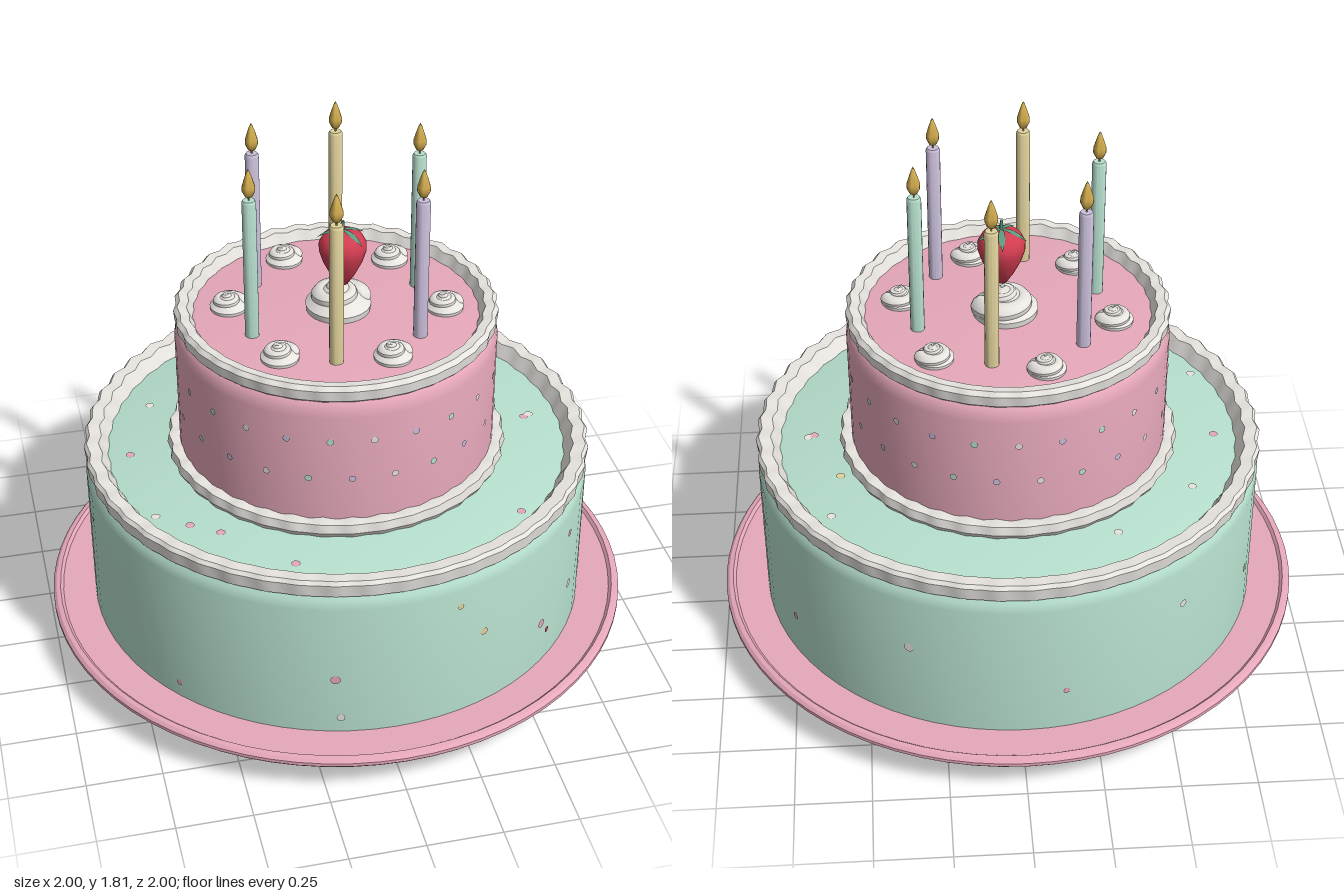
import * as THREE from 'three';
import { toCreasedNormals } from 'three/addons/utils/BufferGeometryUtils.js';

const mat = (name, color) => new THREE.MeshStandardMaterial({ name, color });

export function createModel() {
  const model = new THREE.Group();
  model.name = 'tieredCake';
  const M = {
    pink: mat('pinkIcing', 0xe6a8ba),
    mint: mat('mintIcing', 0xb6dfcd),
    white: mat('whiteCream', 0xeeebe6),
    lavender: mat('lavender', 0xcabfdb),
    yellow: mat('paleYellow', 0xe0d29c),
    gold: mat('flameGold', 0xd2ac4e),
    red: mat('strawberryRed', 0xd23c50),
    leaf: mat('leafGreen', 0x5c9a7c),
  };
  M.leaf.side = THREE.DoubleSide;

  const add = (name, geometry, material, parent = model) => {
    const mesh = new THREE.Mesh(geometry, material);
    mesh.name = name;
    parent.add(mesh);
    return mesh;
  };
  const profile = (pts) => pts.map(([r, y]) => new THREE.Vector2(r, y));
  const lathe = (pts, segments = 72, crease = 0.55) =>
    toCreasedNormals(new THREE.LatheGeometry(profile(pts), segments), crease);

  // Closed ring of piped cream with a wavy edge
  const ruffle = (pts, waves, amp) => {
    const g = new THREE.LatheGeometry(profile([...pts, pts[0]]), waves * 4);
    const p = g.attributes.position;
    for (let i = 0; i < p.count; i++) {
      const x = p.getX(i), z = p.getZ(i);
      const r = Math.hypot(x, z);
      const a = Math.atan2(x, z);
      const wave = Math.sin(a * waves);
      const s = 1 + (amp * wave) / r;
      p.setXYZ(i, x * s, p.getY(i) + amp * 0.6 * wave, z * s);
    }
    return toCreasedNormals(g, 0.6);
  };

  // Cake board
  add('boardFoot', lathe([[0, 0.015], [0.53, 0.015], [0.55, 0.001], [0.575, 0],
    [0.6, 0.01], [0.625, 0.03], [0.66, 0.042], [0.7, 0.05], [0.7, 0.08]]), M.white);
  add('boardRim', lathe([[0.8, 0.112], [0.97, 0.11], [0.99, 0.114], [1, 0.125],
    [1, 0.137], [0.99, 0.147], [0.975, 0.15], [0.965, 0.14], [0.85, 0.14], [0.8, 0.14]]), M.pink);
  add('boardRuffle', ruffle([[0.85, 0.062], [0.89, 0.062], [0.91, 0.095],
    [0.9, 0.115], [0.85, 0.115]], 60, 0.006), M.white);

  // Cake tiers
  add('lowerTier', lathe([[0, 0.06], [0.852, 0.06], [0.852, 0.64], [0.846, 0.67],
    [0.83, 0.69], [0.8, 0.7], [0, 0.7]]), M.mint);
  add('upperTier', lathe([[0, 0.69], [0.53, 0.69], [0.532, 1.14], [0.527, 1.17],
    [0.515, 1.192], [0.49, 1.208], [0.46, 1.212], [0, 1.212]]), M.pink);

  // Piped cream borders
  add('lowerTierBorder', ruffle([[0.77, 0.695], [0.825, 0.678], [0.845, 0.69],
    [0.85, 0.735], [0.84, 0.747], [0.80, 0.745]], 48, 0.005), M.white);
  add('upperTierBaseBorder', ruffle([[0.51, 0.69], [0.55, 0.69], [0.568, 0.72],
    [0.562, 0.75], [0.525, 0.755], [0.51, 0.75]], 36, 0.005), M.white);
  add('upperTierBorder', ruffle([[0.465, 1.205], [0.51, 1.186], [0.525, 1.2],
    [0.528, 1.235], [0.515, 1.249], [0.485, 1.246]], 36, 0.004), M.white);

  // Swirled cream dollop: a spiral tube that thins towards its raised centre
  const spiralPoints = [];
  for (let i = 0; i <= 32; i++) {
    const t = i / 32, a = 0.4 - (1 - t) * Math.PI * 4.4;
    spiralPoints.push(new THREE.Vector3(0.046 * t * Math.cos(a), 0.018 + 0.042 * (1 - t), 0.046 * t * Math.sin(a)));
  }
  const spiral = new THREE.CatmullRomCurve3(spiralPoints);
  const rings = 72, sides = 10;
  const swirl = new THREE.TubeGeometry(spiral, rings, 1, sides);
  const sp = swirl.attributes.position, v = new THREE.Vector3();
  for (let i = 0; i <= rings; i++) {
    const t = i / rings, c = spiral.getPointAt(t);
    const r = (0.007 + 0.018 * t) * Math.sqrt(Math.min(1, (1 - t) * 14, t * 20 + 0.02));
    for (let j = 0; j <= sides; j++) {
      const k = i * (sides + 1) + j;
      v.fromBufferAttribute(sp, k).sub(c).multiplyScalar(r).add(c);
      sp.setXYZ(k, v.x, v.y, v.z);
    }
  }
  swirl.computeVertexNormals();
  const core = lathe([[0, 0], [0.062, 0], [0.064, 0.015], [0.045, 0.03], [0.02, 0.05], [0, 0.06]], 24, 0.9);
  const dollop = (name, x, z, scale) => {
    const g = new THREE.Group();
    g.name = name;
    g.position.set(x, 1.208, z);
    g.scale.setScalar(scale);
    add('swirl', swirl, M.white, g);
    add('core', core, M.white, g);
    model.add(g);
  };
  [[-0.1, -0.35], [0.25, -0.27], [0.35, 0.07], [0.11, 0.325], [-0.24, 0.25], [-0.34, -0.09]]
    .forEach(([x, z]) => dollop('creamDollop', x, z, 0.98));
  dollop('centreDollop', 0.01, -0.01, 1.7);

  // Candles, in opposite pairs of one colour
  const candleGeo = lathe([[0, 1.2], [0.023, 1.2], [0.023, 1.695], [0.019, 1.702], [0, 1.702]], 16);
  const flameGeo = lathe([[0, 1.708], [0.012, 1.716], [0.021, 1.735], [0.021, 1.75],
    [0.012, 1.78], [0.005, 1.8], [0, 1.81]], 16, 1);
  const wickGeo = new THREE.CylinderGeometry(0.003, 0.003, 0.03, 6).translate(0, 1.71, 0);
  [[0.07, -0.308, M.yellow], [0.228, 0.215, M.lavender], [0.298, -0.093, M.mint]].forEach(([x, z, m]) => {
    for (const s of [1, -1]) {
      const g = new THREE.Group();
      g.name = 'candle';
      g.position.set(x * s, 0, z * s);
      add('wax', candleGeo, m, g);
      add('flame', flameGeo, M.gold, g);
      add('wick', wickGeo, M.gold, g);
      model.add(g);
    }
  });

  // Strawberry with a leafy crown
  const berry = new THREE.Group();
  berry.name = 'strawberry';
  berry.position.set(0.02, 1.31, 0.01);
  add('fruit', lathe([[0, 0], [0.018, 0.007], [0.042, 0.045], [0.064, 0.09], [0.077, 0.13],
    [0.077, 0.155], [0.064, 0.18], [0.04, 0.194], [0, 0.197]], 28, 1.2), M.red, berry);
  const leafGeo = new THREE.PlaneGeometry(0.085, 0.024, 8, 2).rotateX(-Math.PI / 2);
  const lp = leafGeo.attributes.position;
  for (let i = 0; i < lp.count; i++) {
    const t = lp.getX(i) / 0.085 + 0.5;
    const width = 0.25 + Math.sin(Math.PI * Math.min(1, t)) * 0.75 - 0.25 * t;
    lp.setXYZ(i, 0.085 * t, 0.203 - 0.034 * t * t, lp.getZ(i) * width);
  }
  leafGeo.computeVertexNormals();
  for (let i = 0; i < 5; i++) add('leaf', leafGeo, M.leaf, berry).rotation.y = 0.3 + (i * Math.PI * 2) / 5;
  add('stem', new THREE.CylinderGeometry(0.005, 0.006, 0.04, 8).translate(0, 0.215, 0), M.leaf, berry);
  model.add(berry);

  // Flat round sprinkles
  const disc = new THREE.CircleGeometry(1, 10);
  const sideDot = (angle, y, radius, size, m) => {
    const d = add('sprinkle', disc, m);
    d.position.set(Math.sin(angle) * radius, y, Math.cos(angle) * radius);
    d.rotation.y = angle;
    d.scale.setScalar(size);
  };
  const rowColors = [M.white, M.lavender, M.mint];
  for (let i = 0; i < 24; i++) {
    const a = (i * Math.PI) / 12;
    sideDot(a, 1.053, 0.535, 0.012, rowColors[i % 3]);
    sideDot(a + Math.PI / 24, 0.912, 0.535, 0.012, rowColors[(i * 2) % 3]);
  }
  const { pink, white, yellow, red } = M;
  [[-0.87, 0.2, pink], [-0.21, 0.2, white], [-0.23, 0.36, pink], [0.25, 0.58, yellow],
    [0.36, 0.44, yellow], [0.69, 0.31, pink], [0.735, 0.26, red], [0.9, 0.57, pink],
    [0.93, 0.34, white], [1.12, 0.3, pink], [1.75, 0.46, yellow], [1.76, 0.61, yellow],
    [1.81, 0.52, white], [2.1, 0.3, pink], [2.7, 0.45, white], [3.3, 0.3, pink],
    [3.8, 0.5, white], [4.3, 0.35, yellow], [4.8, 0.55, pink]]
    .forEach(([a, y, m], i) => sideDot(a, y, 0.855, 0.011 + (i % 3) * 0.003, m));
  [[0.6, -0.41, white], [-0.59, -0.33, white], [-0.7, -0.05, pink], [0.66, 0.03, pink],
    [0.68, 0.02, white], [-0.67, 0.31, white], [-0.57, 0.38, pink], [-0.48, 0.44, pink],
    [-0.28, 0.65, pink], [0.49, 0.55, pink], [0.57, -0.2, yellow], [-0.32, -0.55, white]]
    .forEach(([x, z, m]) => {
      const d = add('sprinkle', disc, m);
      d.position.set(x, 0.704, z);
      d.rotation.x = -Math.PI / 2;
      d.scale.setScalar(0.015);
    });

  return model;
}
